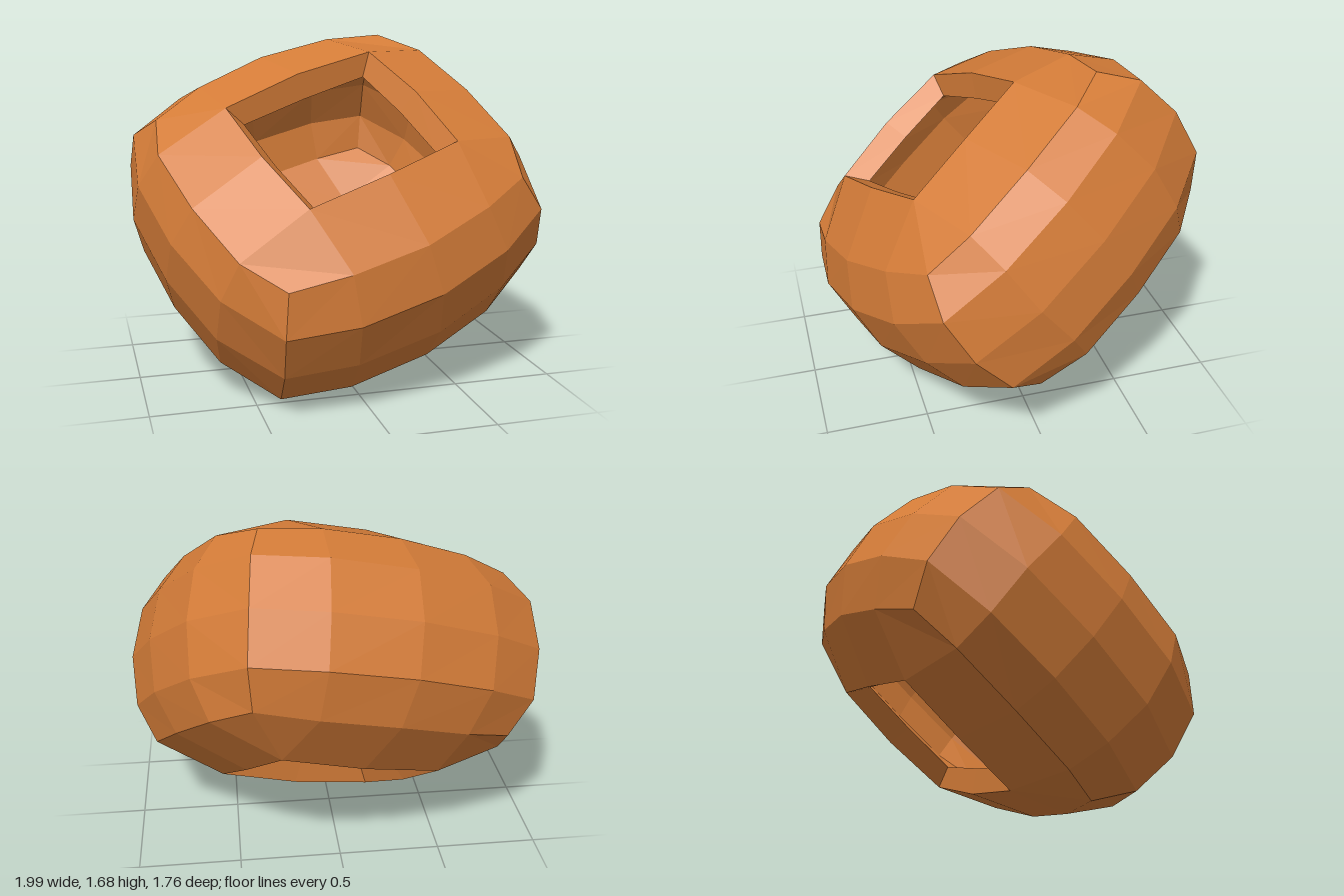
import * as THREE from 'three';

// Half-shell lattice: key = |i||j||k| on a 4x4x4 rounded block, value = local position
const LATTICE = {
  222: [0.667, 0.41, 0.598], 212: [0.742, 0.245, 0.71], 202: [0.758, 0, 0.745],
  122: [0.385, 0.435, 0.675], '022': [0, 0.44, 0.715],
  112: [0.42, 0.25, 0.825], '012': [0, 0.25, 0.87],
  102: [0.43, 0, 0.86], '002': [0, 0, 0.91],
  221: [0.775, 0.43, 0.37], 220: [0.8, 0.435, 0],
  211: [0.88, 0.25, 0.39], 210: [0.915, 0.25, 0],
  201: [0.912, 0, 0.41], 200: [0.95, 0, 0],
  121: [0.417, 0.573, 0.36], '021': [0, 0.59, 0.38], 120: [0.44, 0.585, 0],
};
const THICKNESS = 0.13;

// Mirror the lattice into all octants; inner points are pulled toward the centre
function point(idx, inner) {
  const base = LATTICE[idx.map(Math.abs).join('')];
  const p = new THREE.Vector3(...base.map((v, a) => v * Math.sign(idx[a])));
  return inner ? p.setLength(p.length() - THICKNESS) : p;
}

function toGeometry(quads) {
  const pos = [];
  for (const [a, b, c, d] of quads) {
    for (const p of [a, b, c, a, c, d]) pos.push(p.x, p.y, p.z);
  }
  const g = new THREE.BufferGeometry();
  g.setAttribute('position', new THREE.Float32BufferAttribute(pos, 3));
  g.computeVertexNormals();
  return g;
}

// Lattice index on the face with the given axis and sign
function faceIndex(axis, sign, a, b) {
  const idx = [0, 0, 0];
  idx[axis] = 2 * sign;
  idx[(axis + 1) % 3] = a;
  idx[(axis + 2) % 3] = b;
  return idx;
}

// Faceted skin with the middle 2x2 cells left open at both ends of the hole axis
function shellQuads(inner) {
  const quads = [];
  for (let axis = 0; axis < 3; axis++) for (const sign of [-1, 1]) {
    for (let a = -2; a < 2; a++) for (let b = -2; b < 2; b++) {
      const open = axis === 1 && a >= -1 && a < 1 && b >= -1 && b < 1;
      if (open) continue;
      const q = [[a, b], [a + 1, b], [a + 1, b + 1], [a, b + 1]]
        .map(([s, t]) => point(faceIndex(axis, sign, s, t), inner));
      if ((sign < 0) !== inner) q.reverse();
      quads.push(q);
    }
  }
  return quads;
}

// Short walls joining the outer and inner skins around one opening
function rimQuads(sign) {
  const loop = [[-1, -1], [0, -1], [1, -1], [1, 0], [1, 1], [0, 1], [-1, 1], [-1, 0]]
    .map(([a, b]) => faceIndex(1, sign, a, b));
  return loop.map((p, i) => {
    const n = loop[(i + 1) % loop.length];
    const q = [point(p, false), point(n, false), point(n, true), point(p, true)];
    return sign > 0 ? q.reverse() : q;
  });
}

export function createModel() {
  const bronze = new THREE.MeshStandardMaterial({
    color: 0xd47c38, flatShading: true, side: THREE.DoubleSide,
  });
  bronze.name = 'bronze';

  const ring = new THREE.Group();
  ring.name = 'ring';
  const add = (name, quads) => {
    const mesh = new THREE.Mesh(toGeometry(quads), bronze);
    mesh.name = name;
    ring.add(mesh);
  };
  add('outerShell', shellQuads(false));
  add('innerShell', shellQuads(true));
  add('upperRim', rimQuads(1));
  add('lowerRim', rimQuads(-1));

  // Tilt the ring so its opening looks up and forward
  const across = new THREE.Vector3(0.923, 0.288, -0.252).normalize();
  const axis = new THREE.Vector3(-0.08, 0.788, 0.608);
  axis.addScaledVector(across, -axis.dot(across)).normalize();
  const down = new THREE.Vector3().crossVectors(across, axis);
  ring.quaternion.setFromRotationMatrix(new THREE.Matrix4().makeBasis(across, axis, down));
  ring.position.y = 0.84;

  const model = new THREE.Group();
  model.name = 'squareRing';
  model.add(ring);
  return model;
}
